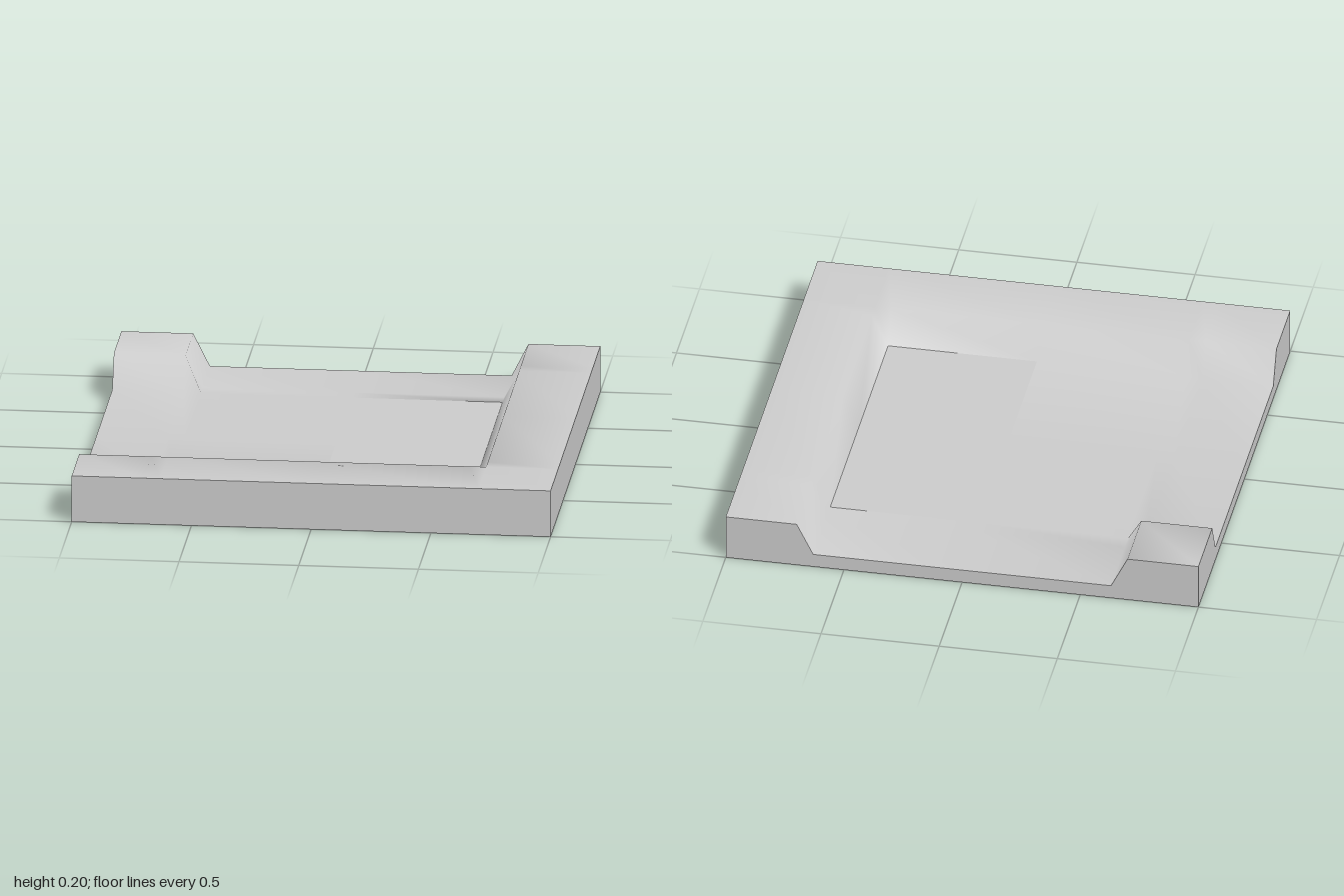
import * as THREE from 'three';

const LOW = 0.06, HIGH = 0.2;              // floor level and kerb level
const GRID = [-1, -0.7, -0.63, 0, 0.63, 0.7, 1]; // grid lines shared by x and z
const N = GRID.length;

// Raised along +x and +z, plus a small block in the (-x, -z) corner
function height(x, z) {
  const raised = x >= 0.7 || z >= 0.7 || (x <= -0.7 && z <= -0.7);
  return raised ? HIGH : LOW;
}

function surface(points, index) {
  const g = new THREE.BufferGeometry();
  g.setAttribute('position', new THREE.Float32BufferAttribute(points.flat(), 3));
  g.setIndex(index);
  g.computeVertexNormals();
  return g;
}

// Flat panel set in the floor, kept apart from the smooth surface
const inPanel = (i, j) => GRID[i] >= 0 && GRID[i] < 0.63 && GRID[j] >= -0.63 && GRID[j] < 0.63;

function topGeometry(keep) {
  const points = [], index = [];
  for (const z of GRID) for (const x of GRID) points.push([x, height(x, z), z]);
  for (let j = 0; j < N - 1; j++) {
    for (let i = 0; i < N - 1; i++) {
      if (!keep(i, j)) continue;
      const a = j * N + i, b = a + N, c = b + 1, d = a + 1;
      index.push(a, b, c, a, c, d);
    }
  }
  return surface(points, index);
}

// Four outer walls following the height of the rim
function wallGeometry() {
  const back = [...GRID].reverse(), points = [], index = [];
  const sides = [
    GRID.map(x => [x, 1]), back.map(z => [1, z]),
    back.map(x => [x, -1]), GRID.map(z => [-1, z]),
  ];
  for (const side of sides) {
    for (let k = 0; k < N - 1; k++) {
      const [px, pz] = side[k], [qx, qz] = side[k + 1], o = points.length;
      points.push([px, 0, pz], [qx, 0, qz], [qx, height(qx, qz), qz], [px, height(px, pz), pz]);
      index.push(o, o + 1, o + 2, o, o + 2, o + 3);
    }
  }
  return surface(points, index);
}

export function createModel() {
  const group = new THREE.Group();
  group.name = 'cornerTile';
  const material = new THREE.MeshStandardMaterial({ color: 0xcccccc });
  const add = (name, geometry) => {
    const mesh = new THREE.Mesh(geometry, material);
    mesh.name = name;
    group.add(mesh);
  };

  add('kerbsAndFloor', topGeometry((i, j) => !inPanel(i, j)));
  add('floorPanel', topGeometry(inPanel));
  add('outerWalls', wallGeometry());
  add('underside', new THREE.PlaneGeometry(2, 2).rotateX(Math.PI / 2));
  return group;
}
